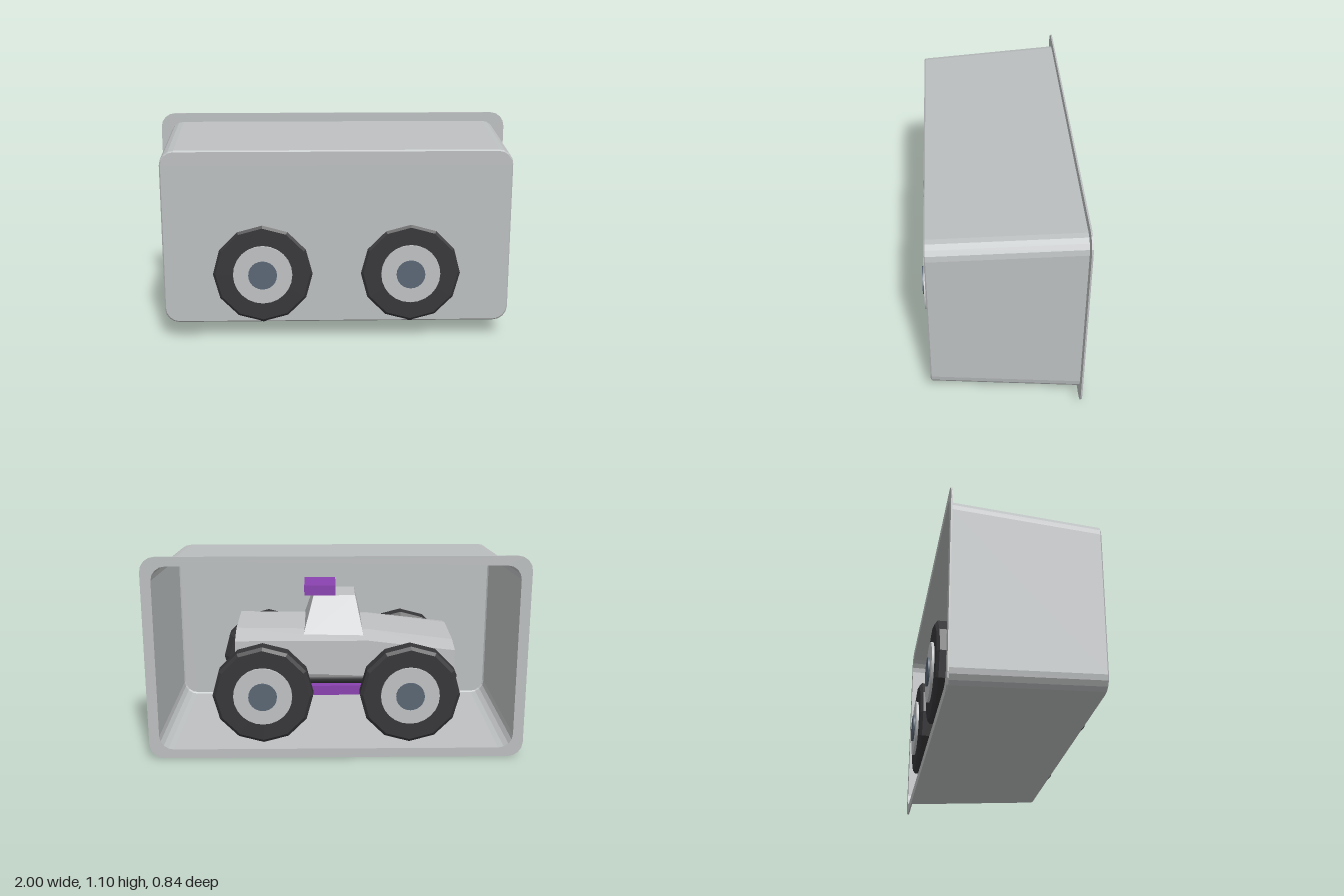
import * as THREE from 'three';

const mat = (name, color, double) => {
  const m = new THREE.MeshStandardMaterial({ color });
  m.name = name;
  if (double) m.side = THREE.DoubleSide;
  return m;
};

// Flat-sided skin through equal-length loops of [x, y, z], with optional end caps.
function loft(loops, capStart = true, capEnd = true) {
  const pos = [];
  const tri = (a, b, c) => pos.push(...a, ...b, ...c);
  const n = loops[0].length;
  for (let k = 0; k + 1 < loops.length; k++) {
    const a = loops[k], b = loops[k + 1];
    for (let i = 0; i < n; i++) {
      const j = (i + 1) % n;
      tri(a[i], a[j], b[j]);
      tri(a[i], b[j], b[i]);
    }
  }
  const last = loops[loops.length - 1];
  for (let i = 1; i + 1 < n; i++) {
    if (capStart) tri(loops[0][0], loops[0][i + 1], loops[0][i]);
    if (capEnd) tri(last[0], last[i], last[i + 1]);
  }
  const g = new THREE.BufferGeometry();
  g.setAttribute('position', new THREE.Float32BufferAttribute(pos, 3));
  g.computeVertexNormals();
  return g;
}

// Counterclockwise rounded rectangle centred on y = 0.55.
function roundedRect(hw, hh, r, steps = 4) {
  const pts = [];
  [[1, 1], [-1, 1], [-1, -1], [1, -1]].forEach(([sx, sy], c) => {
    for (let i = 0; i <= steps; i++) {
      const a = (c + i / steps) * Math.PI / 2;
      pts.push(new THREE.Vector2(sx * (hw - r) + r * Math.cos(a), 0.55 + sy * (hh - r) + r * Math.sin(a)));
    }
  });
  return pts;
}

export function createModel() {
  const model = new THREE.Group();
  const trayMat = mat('trayGrey', 0xbcbfc0, true);
  const bodyMat = mat('bodyGrey', 0xbfc1c3);
  const tyreMat = mat('tyreBlack', 0x363538);
  const capMat = mat('capSlate', 0x5a6674);
  const purple = mat('purple', 0x8a42b0);

  const add = (parent, name, geo, material, x = 0, y = 0, z = 0) => {
    const m = new THREE.Mesh(geo, material);
    m.name = name;
    m.position.set(x, y, z);
    parent.add(m);
    return m;
  };

  // Tapered tray, open at the back
  const ring = (hw, hh, r, z) => roundedRect(hw, hh, r).map(p => [p.x, p.y, z]);
  add(model, 'tray', loft([
    ring(0.945, 0.5, 0.075, -0.38),
    ring(0.908, 0.46, 0.075, 0.378),
    ring(0.901, 0.453, 0.07, 0.385),
  ], false, true), trayMat);

  // Flat rim around the opening
  const rim = new THREE.Shape(roundedRect(1, 0.55, 0.08));
  rim.holes.push(new THREE.Path(roundedRect(0.945, 0.5, 0.075).reverse()));
  add(model, 'rim', new THREE.ExtrudeGeometry(rim, { depth: 0.008, bevelEnabled: false }), trayMat, 0, 0, -0.384);

  const vehicle = new THREE.Group();
  vehicle.name = 'vehicle';
  model.add(vehicle);

  // Upper body: crowned deck sloping down to the nose; columns are x, bottom, shoulder, crown
  const hull = [[-0.63, 0.48, 0.57, 0.595], [-0.17, 0.43, 0.625, 0.655], [0.535, 0.45, 0.625, 0.665]];
  add(vehicle, 'upperBody', loft(hull.map(([x, b, s, c]) => [
    [x, b, -0.29], [x, s, -0.29], [x, c, -0.17], [x, c, 0.17], [x, s, 0.29], [x, b, 0.29],
  ])), bodyMat);

  // Cabin and its roof block
  const cabinRing = (x0, x1, hz, y) => [[x0, y, -hz], [x0, y, hz], [x1, y, hz], [x1, y, -hz]];
  add(vehicle, 'cabin', loft([cabinRing(-0.15, 0.18, 0.25, 0.62), cabinRing(-0.105, 0.12, 0.1, 0.825)]), bodyMat);
  add(vehicle, 'roofBlock', new THREE.BoxGeometry(0.17, 0.055, 0.2), purple, 0.085, 0.852, 0);

  // Chassis, side rails and end bars
  add(vehicle, 'chassis', new THREE.BoxGeometry(1.08, 0.12, 0.44), tyreMat, -0.03, 0.4, 0);
  add(vehicle, 'underTray', new THREE.BoxGeometry(1.1, 0.04, 0.46), purple, -0.03, 0.32, 0);
  for (const s of [-1, 1]) {
    add(vehicle, 'sideRail', new THREE.BoxGeometry(1.1, 0.05, 0.05), purple, -0.03, 0.345, s * 0.255);
    const tube = add(vehicle, 'sideTube', new THREE.CylinderGeometry(0.03, 0.03, 1.1, 10), tyreMat, -0.03, 0.405, s * 0.245);
    tube.rotation.z = Math.PI / 2;
    const x = s < 0 ? -0.62 : 0.55;
    add(vehicle, 'endBar', new THREE.BoxGeometry(0.07, 0.04, 0.54), purple, x, 0.3, 0);
    for (const y of [0.36, 0.42]) {
      const bar = add(vehicle, 'endTube', new THREE.CylinderGeometry(0.027, 0.027, 0.54, 10), tyreMat, x, y, 0);
      bar.rotation.x = Math.PI / 2;
    }
  }

  // Wheels: faceted tyre, hub disc and cap, axis turned outwards along z
  const profile = [[0, 0.285], [0.235, 0.285], [0.265, 0.308], [0.265, 0.382], [0.248, 0.396], [0, 0.396]];
  const tyreGeo = new THREE.LatheGeometry(profile.map(p => new THREE.Vector2(...p)), 12).toNonIndexed();
  tyreGeo.computeVertexNormals();
  const hubGeo = new THREE.CylinderGeometry(0.155, 0.155, 0.022, 24);
  const capGeo = new THREE.CylinderGeometry(0.075, 0.075, 0.022, 24);
  for (const x of [-0.388, 0.388]) {
    for (const s of [-1, 1]) {
      const wheel = new THREE.Group();
      wheel.name = 'wheel';
      add(wheel, 'tyre', tyreGeo, tyreMat);
      add(wheel, 'hub', hubGeo, bodyMat, 0, 0.398, 0);
      add(wheel, 'hubCap', capGeo, capMat, 0, 0.408, 0);
      wheel.position.set(x, 0.355, 0);
      wheel.rotation.x = s * Math.PI / 2;
      vehicle.add(wheel);
    }
    const axle = add(vehicle, 'axle', new THREE.CylinderGeometry(0.035, 0.035, 0.6, 10), tyreMat, x, 0.355, 0);
    axle.rotation.x = Math.PI / 2;
  }
  return model;
}
